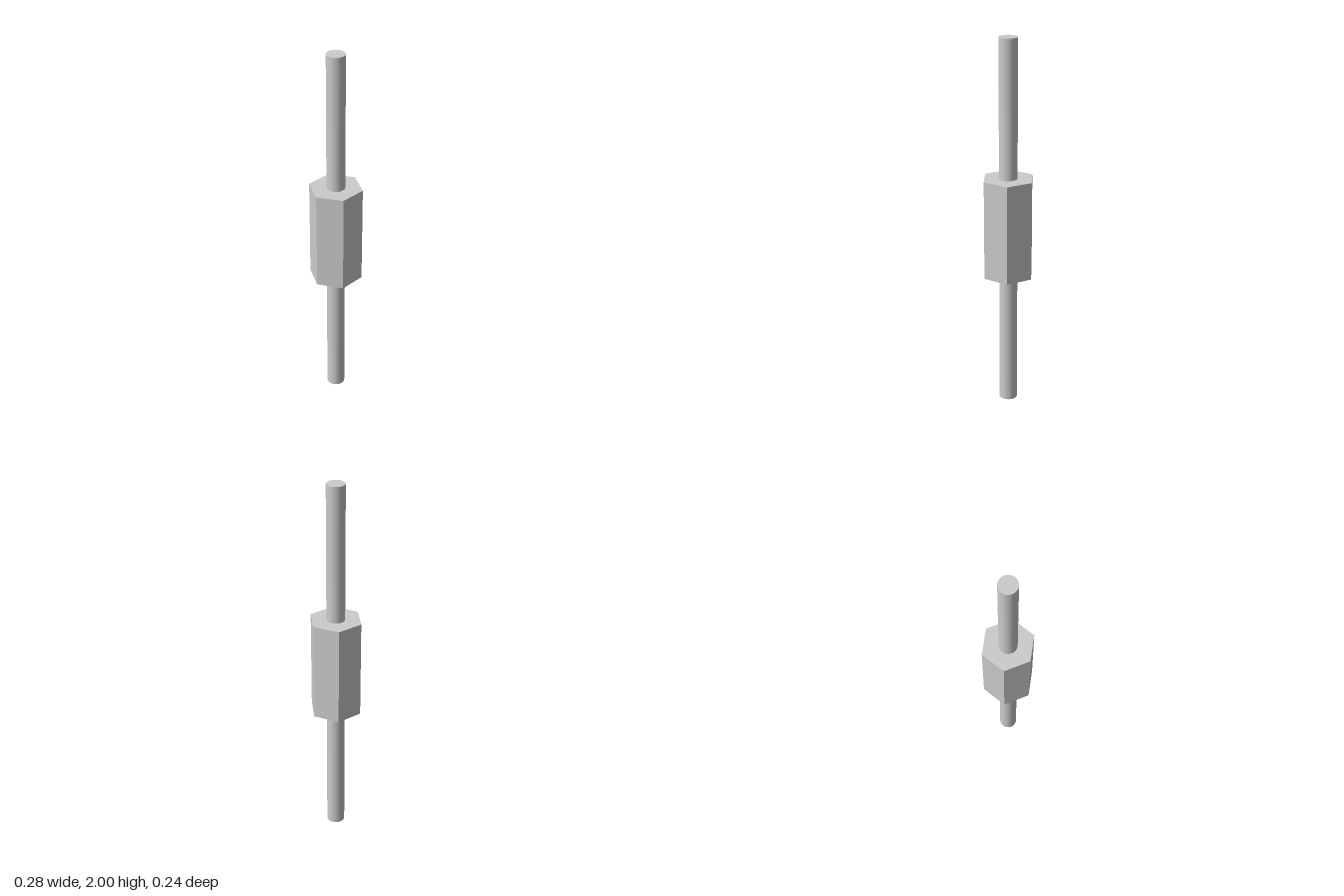
import * as THREE from 'three';

export function createModel() {
  const model = new THREE.Group();
  model.name = 'hexBodyRod';

  const addPart = (name, geometry, y, flatShading = false) => {
    const material = new THREE.MeshStandardMaterial({ color: 0xcccccc, flatShading });
    const mesh = new THREE.Mesh(geometry, material);
    mesh.name = name;
    mesh.position.y = y;
    model.add(mesh);
    return mesh;
  };

  // Round rod running the full height
  addPart('rod', new THREE.CylinderGeometry(0.048, 0.048, 2, 48), 1);

  // Hexagonal body around the middle, corners on the x axis
  const body = addPart('hexBody', new THREE.CylinderGeometry(0.141, 0.141, 0.535, 6), 1.003, true);
  body.rotation.y = Math.PI / 2;

  return model;
}
